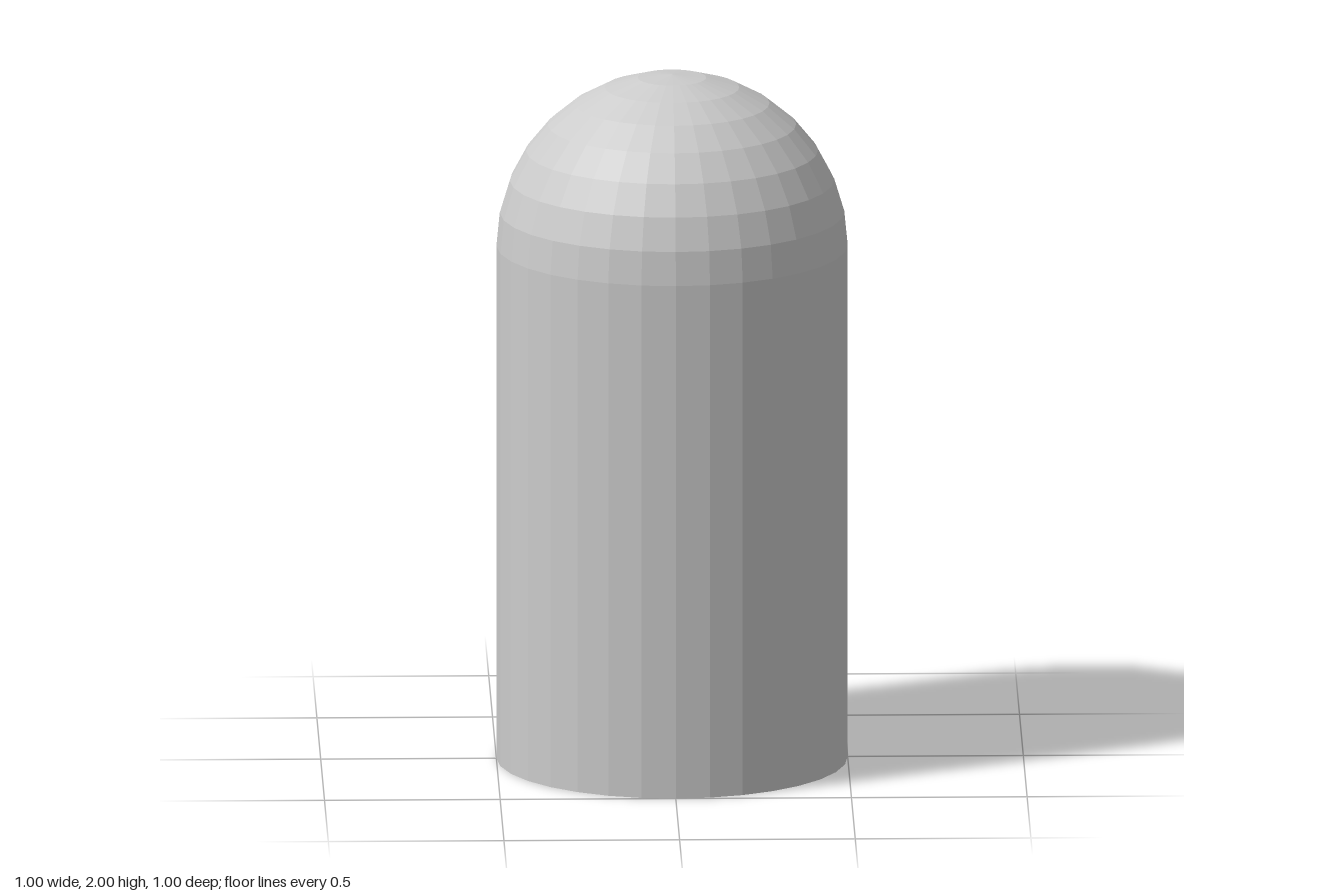
import * as THREE from 'three';

const SIDES = 32;
const RADIUS = 0.5;
const STEP = (Math.PI * 2) / SIDES;

// Hemisphere whose back-left patch is pushed inward to leave a shallow recess
function recessedDome() {
  const geo = new THREE.SphereGeometry(RADIUS, SIDES, 8, 0, Math.PI * 2, 0, Math.PI / 2);
  const pos = geo.attributes.position;
  const depth = 0.055;
  const aim = STEP * 3.5; // middle of the patch, measured from -z towards +x
  const v = new THREE.Vector3();
  for (let i = 0; i < pos.count; i++) {
    v.fromBufferAttribute(pos, i);
    const ring = Math.round(Math.acos(THREE.MathUtils.clamp(v.y / RADIUS, -1, 1)) / STEP);
    const column = Math.round(Math.atan2(v.x, -v.z) / STEP);
    if (ring >= 4 && ring <= 7 && column >= 1 && column <= 6) {
      pos.setXYZ(i, v.x - depth * Math.sin(aim), v.y, v.z + depth * Math.cos(aim));
    }
  }
  geo.computeVertexNormals();
  return geo;
}

export function createModel() {
  const group = new THREE.Group();
  const material = new THREE.MeshStandardMaterial({ color: 0xcccccc, flatShading: true });

  // Straight cylindrical body
  const body = new THREE.Mesh(new THREE.CylinderGeometry(RADIUS, RADIUS, 1.5, SIDES), material);
  body.name = 'body';
  body.position.y = 0.75;

  // Rounded top with the recess
  const dome = new THREE.Mesh(recessedDome(), material);
  dome.name = 'dome';
  dome.position.y = 1.5;

  group.add(body, dome);
  return group;
}
